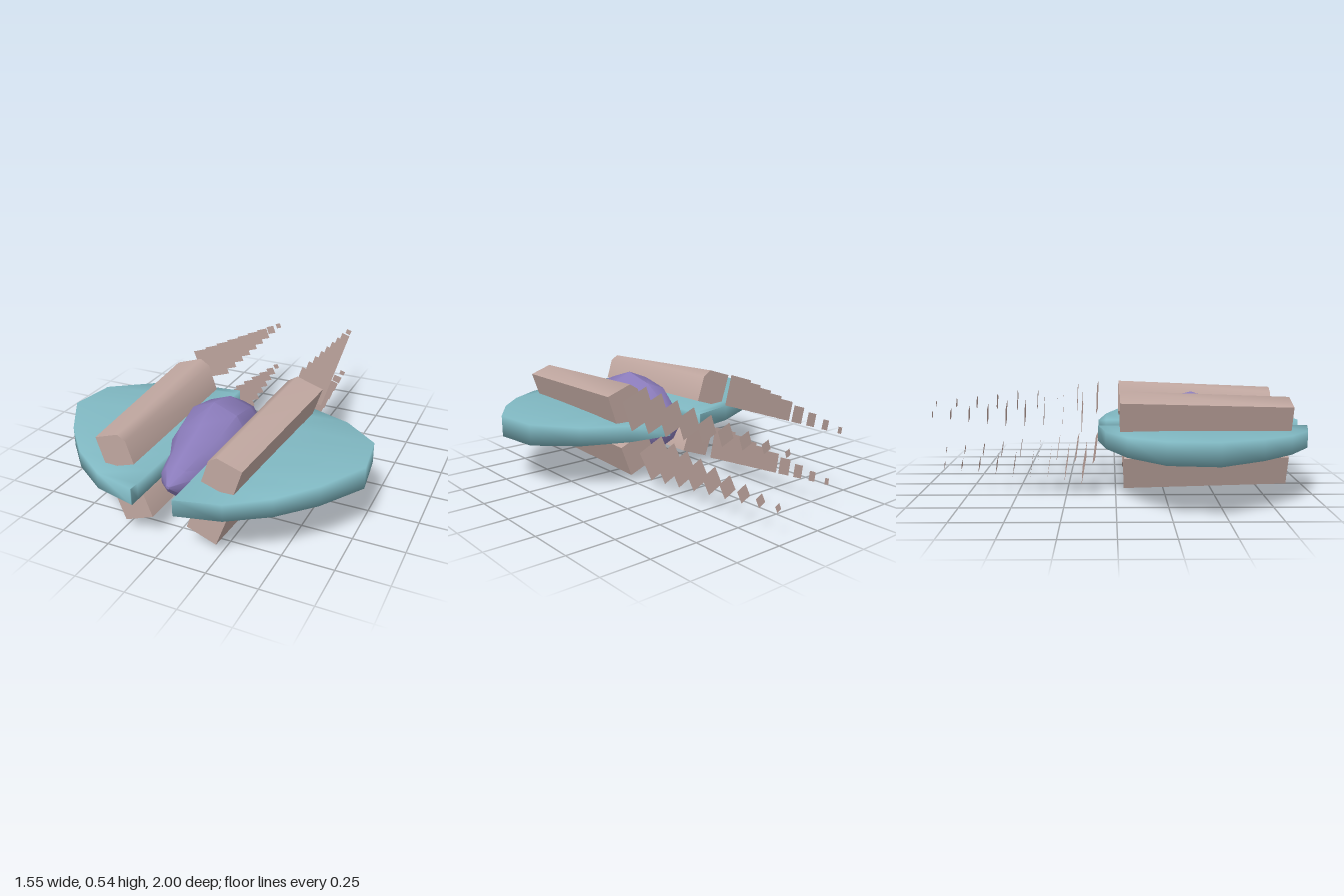
import * as THREE from 'three';
import { toCreasedNormals } from 'three/addons/utils/BufferGeometryUtils.js';

const mat = (color, side = THREE.FrontSide) => new THREE.MeshStandardMaterial({ color, side });

// Skin between equal-length rings of [x, y, z]; the rings run counterclockwise seen from +z
// and are ordered from back to front. Both ends are capped with a fan.
function loft(rings, crease) {
  const n = rings[0].length;
  const last = (rings.length - 1) * n;
  const index = [];
  for (let r = 0; r < rings.length - 1; r++) {
    for (let i = 0; i < n; i++) {
      const a = r * n + i, b = r * n + (i + 1) % n;
      index.push(a, b, b + n, a, b + n, a + n);
    }
  }
  for (let i = 1; i < n - 1; i++) {
    index.push(0, i + 1, i, last, last + i, last + i + 1);
  }
  const g = new THREE.BufferGeometry();
  g.setAttribute('position', new THREE.Float32BufferAttribute(rings.flat(2), 3));
  g.setIndex(index);
  g.computeVertexNormals();
  return crease ? toCreasedNormals(g, crease) : g;
}

// Mirror rings in x when s is -1, keeping the winding
const mirrorRings = (rings, s) => s > 0 ? rings
  : rings.map(ring => ring.map(([x, y, z]) => [-x, y, z]).reverse());

export function createModel() {
  const model = new THREE.Group();
  const brown = mat(0xbfa69f);
  const brownThin = mat(0xbfa69f, THREE.DoubleSide);
  const teal = mat(0x80b8c2);
  const purple = mat(0x8a7bba);

  const add = (name, geometry, material, parent = model) => {
    const mesh = new THREE.Mesh(geometry, material);
    mesh.name = name;
    parent.add(mesh);
    return mesh;
  };

  // Egg-shaped body: stations of [z, half width, half height, centre y]
  const stations = [
    [0.03, 0.005, 0.005, 0.28], [0.08, 0.1, 0.11, 0.265], [0.23, 0.185, 0.21, 0.257],
    [0.4, 0.2, 0.25, 0.257], [0.55, 0.18, 0.2, 0.257], [0.67, 0.12, 0.14, 0.27],
    [0.79, 0.08, 0.08, 0.285], [0.865, 0.008, 0.008, 0.295]];
  const bodyRings = stations.map(([z, rx, ry, cy]) => Array.from({ length: 10 }, (_, i) => {
    const a = Math.PI / 2 + i * Math.PI / 5;
    return [rx * Math.cos(a), cy + ry * Math.sin(a), z];
  }));
  add('body', loft(bodyRings, 0.7), purple);

  // Rounded wings: outline of [x, z] from back root to front root, thicker towards the tip
  const outline = [[0.105, -0.09], [0.33, -0.05], [0.56, 0.05], [0.745, 0.22], [0.775, 0.455],
    [0.64, 0.67], [0.49, 0.83], [0.31, 0.95], [0.105, 1]];
  const wingRings = outline.map(([x, z]) => {
    const top = 0.34 + 0.03 * ((x - 0.1) / 0.675) ** 2;
    return [[0.1, 0.26, z], [x, 0.26, z], [x, top, z], [0.1, 0.34, z]];
  });

  // Pod section: rectangle with its inner top corner cut off
  const pod = [[-0.5, -0.5], [0.5, -0.5], [0.5, 0.5], [-0.3, 0.5], [-0.5, 0.26]];
  const podRing = (cx, cy, z, w, h, tilt) => pod.map(([u, v]) => {
    const c = Math.cos(tilt), s = Math.sin(tilt);
    return [cx + u * w * c - v * h * s, cy + u * w * s + v * h * c, z];
  });
  const pods = [
    { name: 'upper', back: [0.298, 0.436, 0.02, 0.18, 0.18], front: [0.266, 0.42, 0.865, 0.155, 0.15],
      tilt: -0.32, trail: { x: [0.31, 0.22], y: [0.44, 0.415] }, z: { '1': [-0.1, -1], '-1': [-0.165, -0.92] } },
    { name: 'lower', back: [0.21, 0.156, 0.04, 0.175, 0.172], front: [0.188, 0.16, 0.865, 0.155, 0.155],
      tilt: -0.36, trail: { x: [0.21, 0.21], y: [0.165, 0.155] }, z: { '1': [-0.11, -0.95], '-1': [-0.16, -0.87] } }];

  for (const s of [1, -1]) {
    const sideName = s > 0 ? 'Left' : 'Right';
    add('wing' + sideName, loft(mirrorRings(wingRings, s)), teal);

    for (const p of pods) {
      const rings = [podRing(...p.back, p.tilt), podRing(...p.front, p.tilt)];
      add(p.name + 'Pod' + sideName, loft(mirrorRings(rings, s), 0.95), brown);

      // Trail of shrinking square plates behind the pod
      const trail = new THREE.Group();
      trail.name = p.name + 'Trail' + sideName;
      model.add(trail);
      const count = 9;
      for (let i = 0; i < count; i++) {
        const t = i / (count - 1);
        const size = THREE.MathUtils.lerp(0.165, 0.03, t);
        const plate = add('trailPlate', new THREE.PlaneGeometry(size, size), brownThin, trail);
        plate.position.set(
          s * THREE.MathUtils.lerp(...p.trail.x, t),
          THREE.MathUtils.lerp(...p.trail.y, t),
          THREE.MathUtils.lerp(...p.z[s], t));
        plate.rotation.set(p.name === 'lower' ? 0.15 : 0.05, 0.06, s * p.tilt);
      }
    }
  }
  return model;
}
